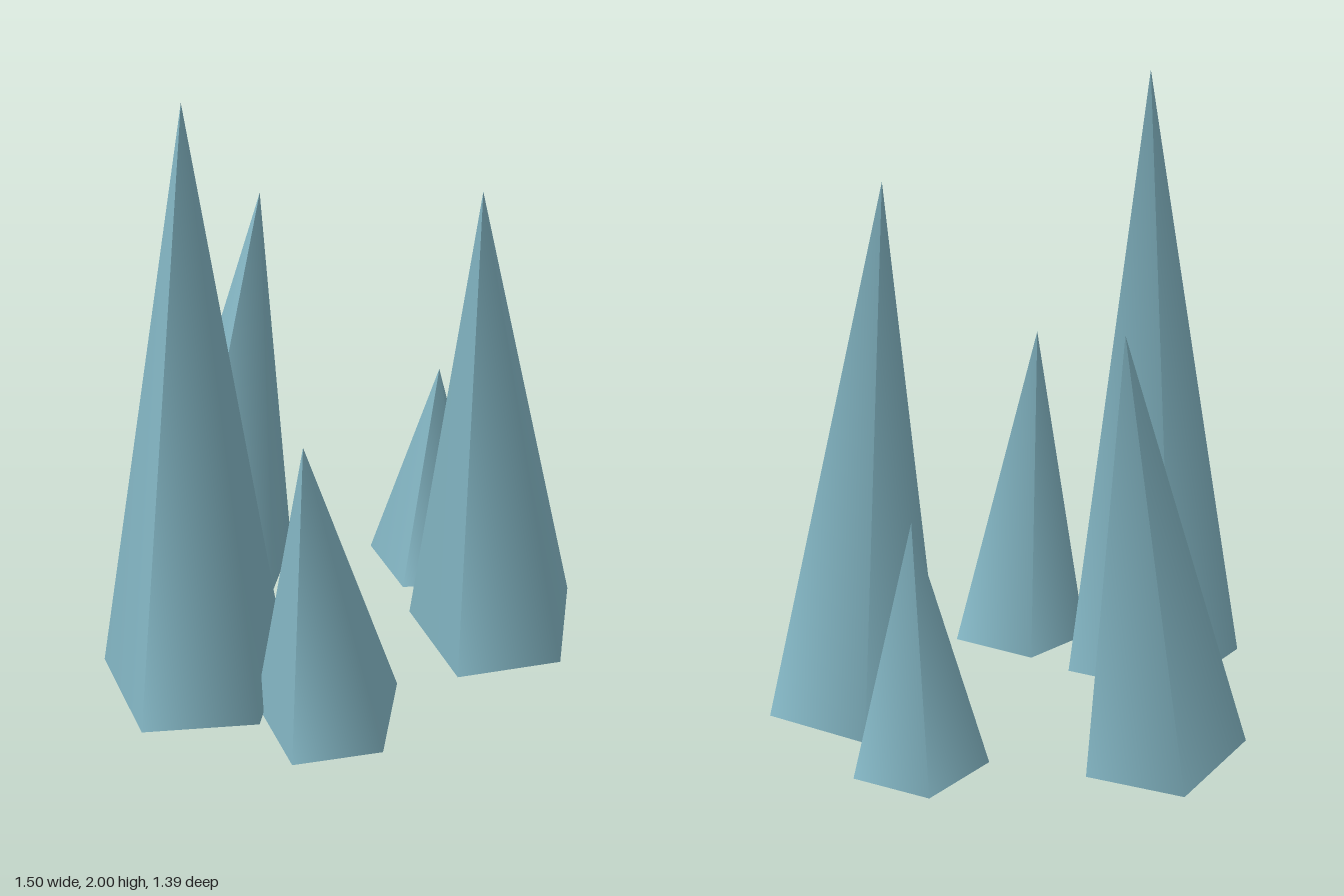
import * as THREE from 'three';

// Each spike: name, base centre, apex (x, y; same z as the base), base radius
const SPIKES = [
  { name: 'tallSpike', base: [-0.456, 0.037, -0.077], apex: [-0.405, 2.0], radius: 0.312 },
  { name: 'backSpike', base: [-0.005, 0.038, -0.481], apex: [0.2, 1.4], radius: 0.266 },
  { name: 'frontLeftSpike', base: [0.453, 0.038, 0.4], apex: [0.255, 1.7], radius: 0.29 },
  { name: 'frontRightSpike', base: [-0.254, 0.036, 0.34], apex: [-0.362, 1.105], radius: 0.239 },
  { name: 'smallSpike', base: [0.547, 0.036, 0.009], apex: [0.547, 0.817], radius: 0.215 },
];

export function createModel() {
  const group = new THREE.Group();
  group.name = 'crystalSpikes';
  const ice = new THREE.MeshStandardMaterial({ color: 0x84b7c5 });
  ice.name = 'iceBlue';

  for (const { name, base, apex, radius } of SPIKES) {
    const dx = apex[0] - base[0];
    const dy = apex[1] - base[1];
    const height = Math.hypot(dx, dy);

    // Smooth five-sided cone, pivoting on its base and leaning sideways
    const geometry = new THREE.ConeGeometry(radius, height, 5);
    geometry.translate(0, height / 2, 0);
    const spike = new THREE.Mesh(geometry, ice);
    spike.name = name;
    spike.position.set(...base);
    spike.rotation.z = -Math.atan2(dx, dy);
    group.add(spike);
  }
  return group;
}
